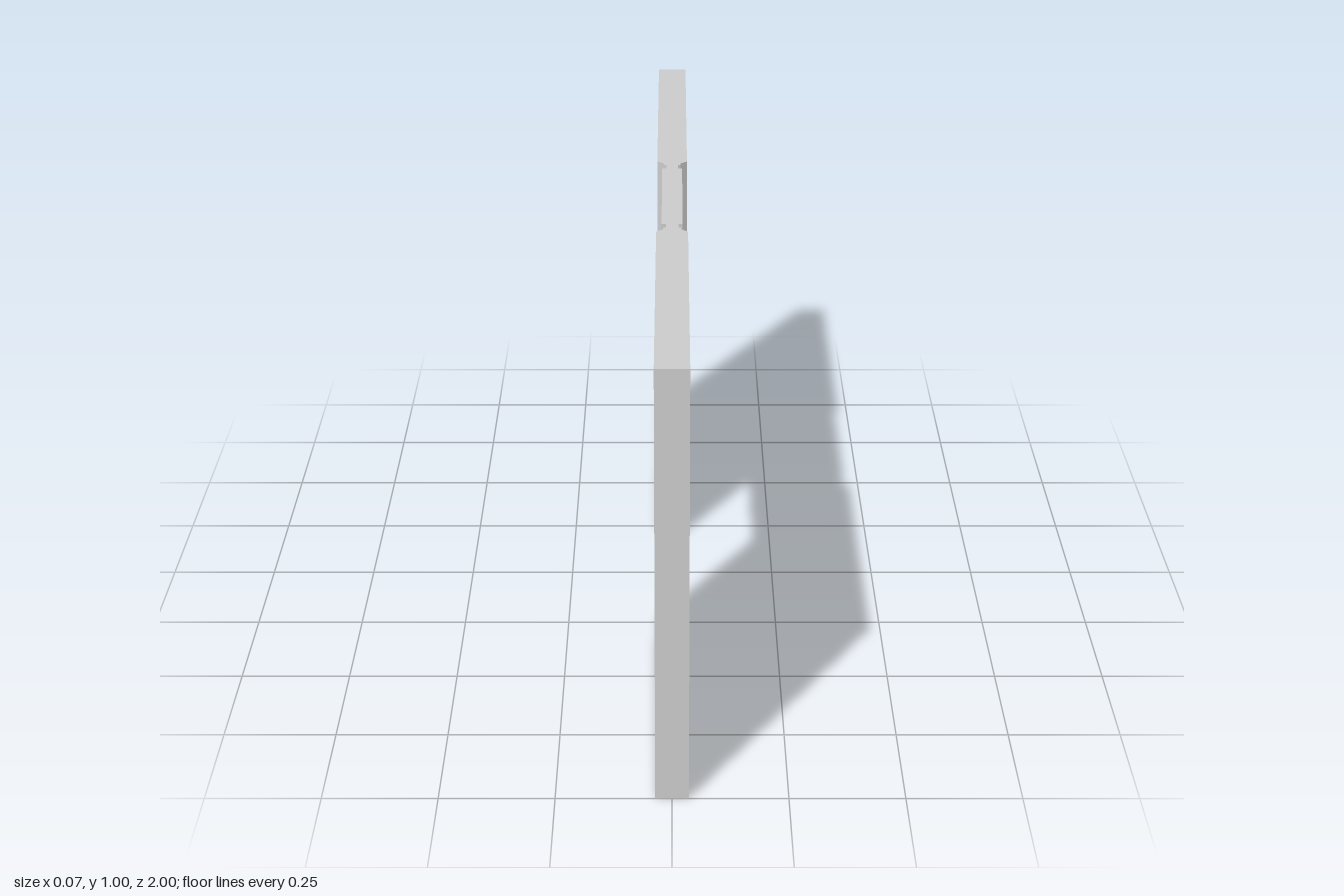
import * as THREE from 'three';

const H = 1.005;      // wall height
const DOOR_H = 0.505; // doorway height
const material = new THREE.MeshStandardMaterial({ color: 0xcccccc, flatShading: true });

function part(name, geometry) {
  const mesh = new THREE.Mesh(geometry, material);
  mesh.name = name;
  return mesh;
}

function box(name, x, y0, y1, z0, z1) {
  const g = new THREE.BoxGeometry(2 * x, y1 - y0, z1 - z0);
  g.translate(0, (y0 + y1) / 2, (z0 + z1) / 2);
  return part(name, g);
}

const points = (list) => list.map(([a, b]) => new THREE.Vector2(a, b));
const rect = (z0, z1, y0, y1) => points([[z0, y0], [z1, y0], [z1, y1], [z0, y1]]);

// Rectangle with a square step cut from each corner
function notched(z0, z1, y0, y1, nz, ny) {
  return points([
    [z0 + nz, y0], [z1 - nz, y0], [z1 - nz, y0 + ny], [z1, y0 + ny],
    [z1, y1 - ny], [z1 - nz, y1 - ny], [z1 - nz, y1], [z0 + nz, y1],
    [z0 + nz, y1 - ny], [z0, y1 - ny], [z0, y0 + ny], [z0 + nz, y0 + ny],
  ]);
}

// Wall layer in the z-y plane, between x0 and x1, pierced by holes
function layer(name, outline, holes, x0, x1) {
  const shape = new THREE.Shape(outline);
  shape.holes = holes.map((h) => new THREE.Path(h));
  const g = new THREE.ExtrudeGeometry(shape, { depth: x1 - x0, bevelEnabled: false });
  g.rotateY(-Math.PI / 2);
  g.translate(x1, 0, 0);
  return part(name, g);
}

function createWallHalf() {
  const half = new THREE.Group();
  const outline = rect(0.24, 1, 0, H);
  const innerPanel = rect(0.3, 0.43, 0.245, 0.445);
  const recesses = [
    rect(0.25, 0.48, 0.943, 0.975),                   // top bar
    notched(0.265, 0.47, 0.555, 0.897, 0.037, 0.034), // notched panel
    rect(0.26, 0.47, 0.207, 0.487),                   // middle panel
    rect(0.26, 0.47, 0.025, 0.148),                   // bottom panel
  ];

  // Solid core, then two layers on each face: the inner holds the deep panel
  half.add(box('wallCore', 0.016, 0, H, 0.24, 1));
  for (const side of [1, -1]) {
    const span = (a, b) => (side > 0 ? [a, b] : [-b, -a]);
    half.add(layer('wallInnerLayer', outline, [innerPanel], ...span(0.016, 0.026)));
    half.add(layer('wallCarvedFace', outline, recesses, ...span(0.026, 0.036)));
  }

  // Chamfered jamb beside the doorway
  const profile = [[0.036, 0.24], [0.02, 0.225], [0.02, 0.215], [0.014, 0.213], [0.014, 0.19]];
  const right = profile.map(([x, z]) => [x, -z]);
  const left = profile.map(([x, z]) => [-x, -z]).reverse();
  const jamb = new THREE.ExtrudeGeometry(new THREE.Shape(points([...right, ...left])),
    { depth: H, bevelEnabled: false });
  jamb.rotateX(-Math.PI / 2);
  half.add(part('jamb', jamb));
  return half;
}

export function createModel() {
  const model = new THREE.Group();
  model.name = 'doorwayWall';

  // Two matching wall halves
  const frontHalf = createWallHalf();
  frontHalf.name = 'frontWall';
  const backHalf = createWallHalf();
  backHalf.name = 'backWall';
  backHalf.rotation.y = Math.PI;
  model.add(frontHalf, backHalf);

  // Panel over the doorway with a thinner lintel band below it
  model.add(box('lintelBand', 0.014, DOOR_H, 0.59, -0.19, 0.19));
  model.add(box('overdoorPanel', 0.024, 0.59, H, -0.19, 0.19));
  return model;
}
